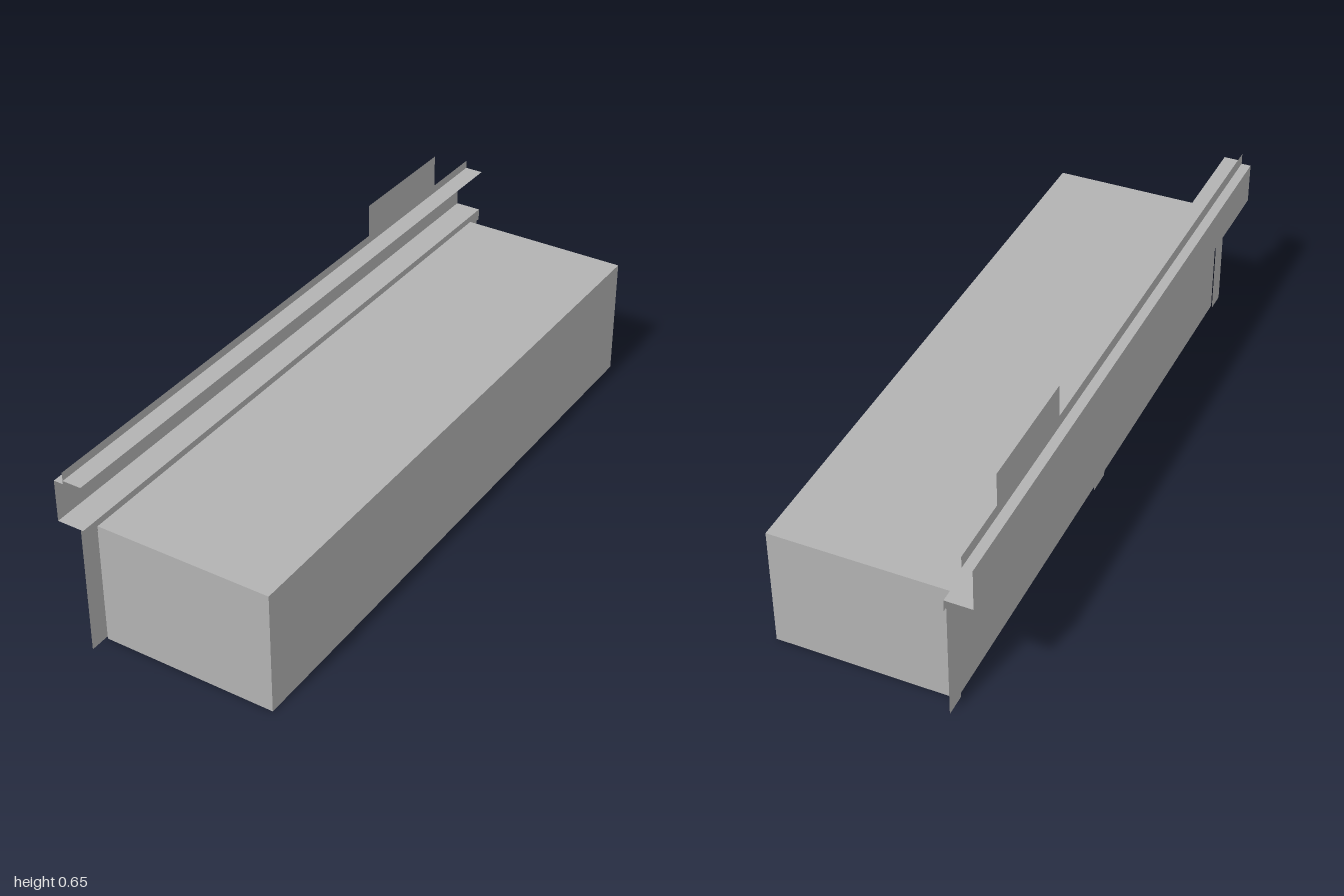
import * as THREE from 'three';

export function createModel() {
  const model = new THREE.Group();
  const grey = new THREE.MeshStandardMaterial({ color: 0xb2b2b2, side: THREE.DoubleSide });
  grey.name = 'plain grey';

  const add = (name, geometry, x, y, z) => {
    const mesh = new THREE.Mesh(geometry, grey);
    mesh.name = name;
    mesh.position.set(x, y, z);
    model.add(mesh);
    return mesh;
  };
  // Thin upright sheet facing sideways
  const upright = (name, x, y0, y1, z0, z1) => {
    const g = new THREE.PlaneGeometry(z1 - z0, y1 - y0).rotateY(-Math.PI / 2);
    add(name, g, x, (y0 + y1) / 2, (z0 + z1) / 2);
  };
  // Thin level sheet running the full length
  const level = (name, y, x0, x1) => {
    const g = new THREE.PlaneGeometry(x1 - x0, 2).rotateX(-Math.PI / 2);
    add(name, g, (x0 + x1) / 2, y, 0);
  };

  // Main block
  add('body', new THREE.BoxGeometry(0.525, 0.37, 1.89), 0.0395, 0.185, 0);

  // Folded rail along the right side
  upright('ledgeLip', -0.222, 0.355, 0.39, -1, 1);
  level('ledge', 0.39, -0.302, -0.222);
  upright('railFace', -0.302, 0.39, 0.515, -1, 1);
  level('railTop', 0.515, -0.302, -0.273);
  upright('railFin', -0.273, 0.515, 0.55, -1, 1);
  level('upperShelf', 0.525, -0.273, -0.217);

  // Raised tab near the back of the rail
  upright('tab', -0.273, 0.55, 0.65, -0.8, -0.42);

  // Flat posts holding up the rail
  for (const [z0, z1] of [[-1, -0.935], [-0.055, 0.022], [0.935, 1]]) {
    upright('post', -0.229, 0, 0.39, z0, z1);
  }
  return model;
}
